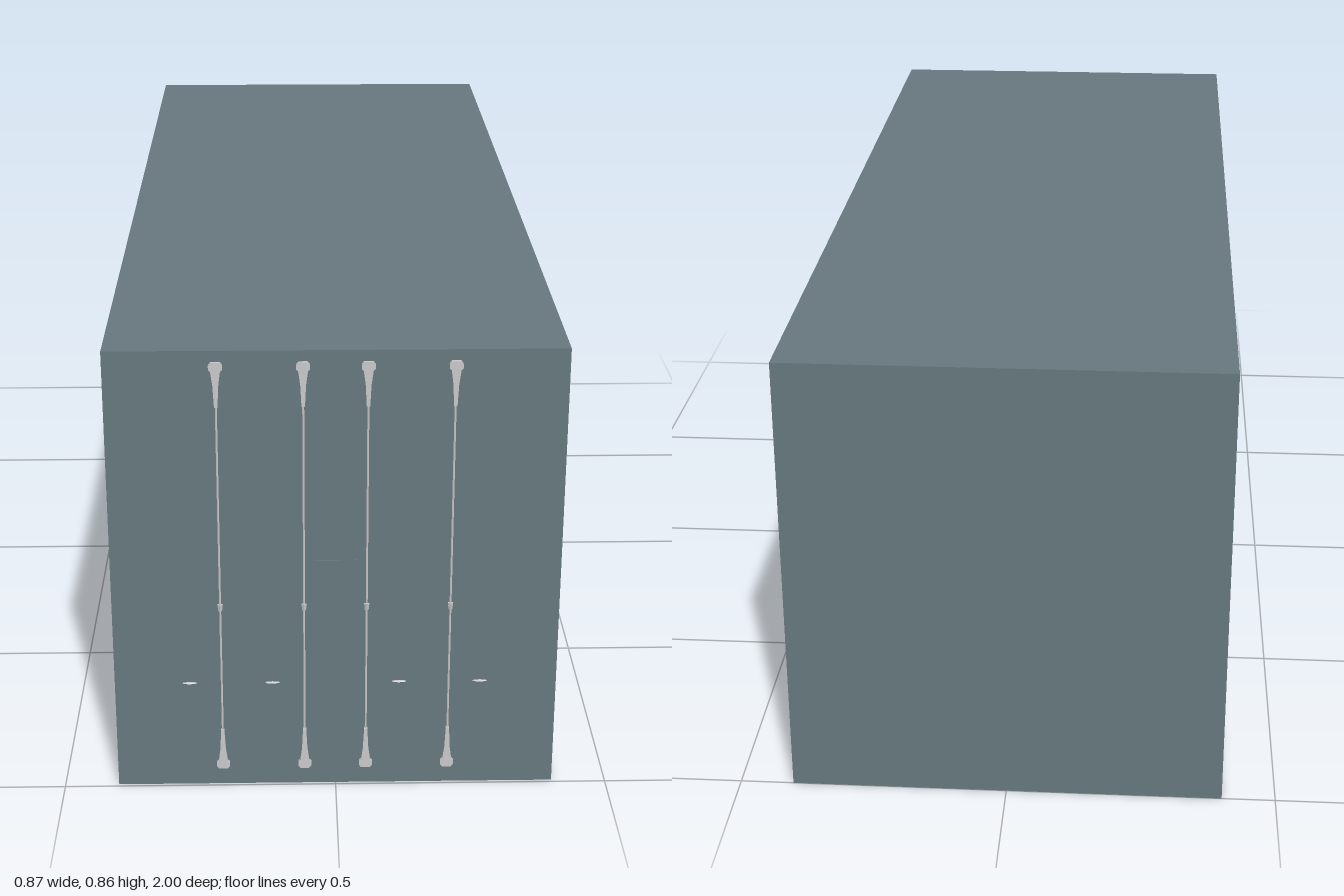
import * as THREE from 'three';

const material = (color, extra = {}) => new THREE.MeshStandardMaterial({ color, ...extra });

export function createModel() {
  const group = new THREE.Group();
  const paint = material(0x687a80);
  const panelPaint = material(0x9eb1b5);
  const grey = material(0xcccccc);
  const metal = material(0xcccccc, { flatShading: true });
  const W = 0.802, H = 0.857, FRONT = 0.994;

  const add = (name, geometry, mat, parent = group) => {
    const mesh = new THREE.Mesh(geometry, mat);
    mesh.name = name;
    parent.add(mesh);
    return mesh;
  };

  // container body
  add('body', new THREE.BoxGeometry(W, H, FRONT + 1), paint).position.set(0, H / 2, (FRONT - 1) / 2);

  // flat outline on a long side; points are [distance from the near end, height]
  const sideSheet = (name, side, x, points, mat) => {
    const shape = new THREE.Shape(points.map(([d, y]) => new THREE.Vector2(d - 1, y)));
    const mesh = add(name, new THREE.ShapeGeometry(shape), mat);
    mesh.rotation.y = side * Math.PI / 2;
    mesh.position.x = side * x;
  };
  const rect = (d0, d1, y0, y1) => [[d0, y0], [d1, y0], [d1, y1], [d0, y1]];

  // slanted panels standing just off each long side
  sideSheet('rightFacePanel', 1, 0.436, [[0.375, 0.25], [1.597, 0.25], [1.651, 0.657], [0.464, 0.657]], panelPaint);
  sideSheet('leftFacePanel', -1, 0.436, [[0.366, 0.25], [1.59, 0.25], [1.655, 0.657], [0.437, 0.657]], panelPaint);

  // small plain labels by the end of each side
  const labels = [rect(0.01, 0.083, 0.619, 0.761), rect(0.01, 0.083, 0.354, 0.496)];
  const rightLabels = [...labels, rect(0.027, 0.07, 0.083, 0.18),
    [[0.055, 0.51], [0.086, 0.541], [0.051, 0.575], [0.019, 0.545]]];
  const leftLabels = [...labels, rect(0.022, 0.075, 0.287, 0.323), rect(0.022, 0.075, 0.143, 0.24)];
  rightLabels.forEach((p) => sideSheet('label', 1, W / 2 + 0.0015, p, grey));
  leftLabels.forEach((p) => sideSheet('label', -1, W / 2 + 0.0015, p, grey));

  // door locking rods with flared end fittings and a middle joint
  const fitting = new THREE.Shape([[-0.003, 0], [0.003, 0], [0.005, 0.04], [0.0085, 0.066], [0.012, 0.069],
    [0.012, 0.077], [0.008, 0.082], [-0.008, 0.082], [-0.012, 0.077], [-0.012, 0.069], [-0.0085, 0.066],
    [-0.005, 0.04]].map(([x, y]) => new THREE.Vector2(x, y)));
  const fittingGeometry = new THREE.ExtrudeGeometry(fitting, { depth: 0.006, bevelEnabled: false });
  for (const x of [-0.207, -0.057, 0.055, 0.205]) {
    const lock = new THREE.Group();
    lock.name = 'lockingRod';
    lock.position.set(x, 0, FRONT);
    group.add(lock);
    add('rod', new THREE.CylinderGeometry(0.002, 0.002, 0.76, 6), metal, lock).position.set(0, 0.436, 0.002);
    add('topFitting', fittingGeometry, metal, lock).position.y = 0.755;
    const bottom = add('bottomFitting', fittingGeometry, metal, lock);
    bottom.rotation.x = Math.PI;
    bottom.position.set(0, 0.117, 0.006);
    add('middleJoint', new THREE.CylinderGeometry(0.0055, 0.004, 0.013, 6), metal, lock)
      .position.set(0, 0.367, 0.0005);
  }

  // slim door handles
  for (const x of [-0.265, -0.115, 0.115, 0.262]) {
    const handle = add('doorHandle', new THREE.SphereGeometry(1, 8, 4), metal);
    handle.scale.set(0.014, 0.002, 0.005);
    handle.position.set(x, 0.213, FRONT);
  }

  // small plate in the middle of the doors
  add('doorPlate', new THREE.BoxGeometry(0.078, 0.045, 0.003), paint).position.set(0, 0.437, FRONT);

  return group;
}
